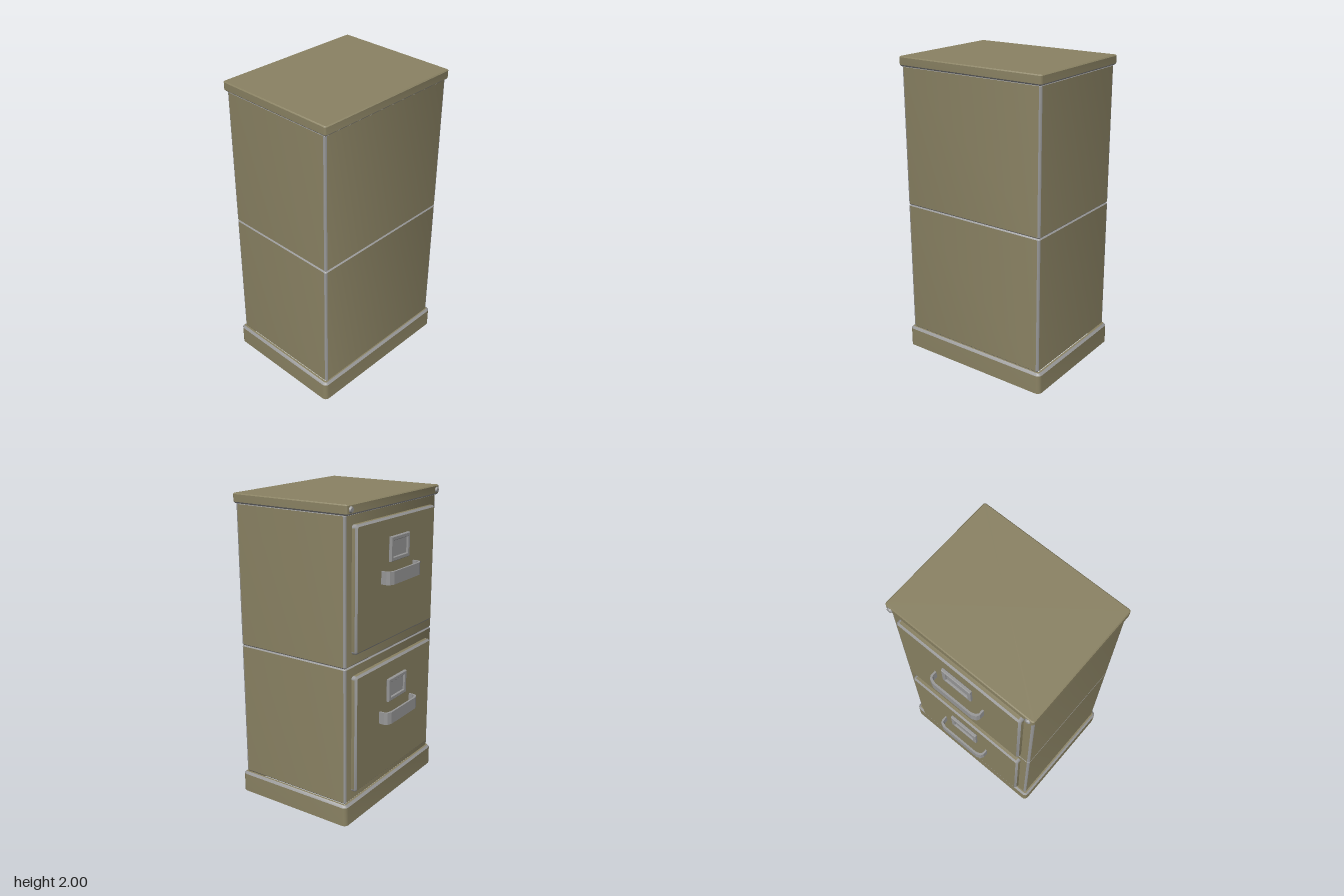
import * as THREE from 'three';
import { toCreasedNormals } from 'three/addons/utils/BufferGeometryUtils.js';

const paint = new THREE.MeshStandardMaterial({ color: 0x8a8263, side: THREE.DoubleSide });
paint.name = 'olive paint';
const steel = new THREE.MeshStandardMaterial({ color: 0x979797, side: THREE.DoubleSide });
steel.name = 'grey steel';

const CORNER = 4; // segments per rounded corner

// Outline of a rounded rectangle in x and z
function outline(w, d, r) {
  const pts = [];
  [[1, 1], [-1, 1], [-1, -1], [1, -1]].forEach(([sx, sz], q) => {
    for (let i = 0; i <= CORNER; i++) {
      const a = (q + i / CORNER) * Math.PI / 2;
      pts.push([sx * (w / 2 - r) + r * Math.cos(a), sz * (d / 2 - r) + r * Math.sin(a)]);
    }
  });
  return pts;
}

// Stack of rounded rectangles. rings: [y, inset, bandAboveIsSteel]
function stack(w, d, r, rings, { steelCorners = false, top = false, bottom = false } = {}) {
  const faces = [[], []]; // paint, steel
  const loops = rings.map(([y, inset]) =>
    outline(w - 2 * inset, d - 2 * inset, Math.max(r - inset, 0.003)).map(([x, z]) => [x, y, z]));
  const n = loops[0].length;
  for (let k = 0; k < loops.length - 1; k++) {
    for (let i = 0; i < n; i++) {
      const j = (i + 1) % n;
      const isCorner = i % (CORNER + 1) !== CORNER;
      const list = faces[rings[k][2] || (steelCorners && isCorner) ? 1 : 0];
      const [a, b, c, e] = [loops[k][i], loops[k + 1][i], loops[k + 1][j], loops[k][j]];
      list.push(...a, ...b, ...c, ...a, ...c, ...e);
    }
  }
  const cap = (loop, up) => {
    for (let i = 0; i < n; i++) {
      const p = loop[i], q = loop[(i + 1) % n];
      faces[0].push(0, p[1], 0, ...(up ? q : p), ...(up ? p : q));
    }
  };
  if (top) cap(loops[loops.length - 1], true);
  if (bottom) cap(loops[0], false);
  const geo = new THREE.BufferGeometry();
  geo.setAttribute('position', new THREE.Float32BufferAttribute([...faces[0], ...faces[1]], 3));
  geo.addGroup(0, faces[0].length / 3, 0);
  if (faces[1].length) geo.addGroup(faces[0].length / 3, faces[1].length / 3, 1);
  return toCreasedNormals(geo, 0.6);
}

function add(parent, name, geo, mat, x = 0, y = 0, z = 0) {
  const mesh = new THREE.Mesh(geo, mat);
  mesh.name = name;
  mesh.position.set(x, y, z);
  parent.add(mesh);
  return mesh;
}

// Bent strap handle, bowed along -z
function handleGeometry() {
  const outer = [[0.19, 0], [0.19, 0.035], [0.18, 0.055], [0.15, 0.068]];
  const inner = [[0.138, 0.055], [0.168, 0.044], [0.178, 0.03], [0.178, 0]];
  const flip = (pts) => pts.map(([x, y]) => [-x, y]).reverse();
  const pts = [...outer, ...flip(outer), ...flip(inner), ...inner];
  const shape = new THREE.Shape(pts.map(([x, y]) => new THREE.Vector2(x, y)));
  return new THREE.ExtrudeGeometry(shape, { depth: 0.08, bevelEnabled: false }).rotateX(-Math.PI / 2);
}

// Label holder frame around an opening
function labelFrameGeometry() {
  const rect = (S, w, h) => new S([[-w, -h], [w, -h], [w, h], [-w, h]].map((p) => new THREE.Vector2(...p)));
  const shape = rect(THREE.Shape, 0.104, 0.072);
  shape.holes.push(rect(THREE.Path, 0.086, 0.054));
  return new THREE.ExtrudeGeometry(shape, {
    depth: 0.014, bevelThickness: 0.004, bevelSize: 0.004, bevelSegments: 1,
  }).rotateY(Math.PI);
}

// One drawer front with its handle and label holder
function drawer(name, y) {
  const g = new THREE.Group();
  g.name = name;
  const panel = stack(0.905, 0.77, 0.02,
    [[0, 0], [0.022, 0, true], [0.034, 0.013]], { steelCorners: true, top: true });
  add(g, 'drawerPanel', panel.rotateX(-Math.PI / 2), [paint, steel]);
  add(g, 'drawerHandle', handleGeometry(), steel, 0, -0.01, -0.034);
  add(g, 'labelFrame', labelFrameGeometry(), steel, 0, 0.19, -0.036);
  add(g, 'labelPlate', new THREE.BoxGeometry(0.18, 0.116, 0.008), steel, 0, 0.19, -0.038);
  g.position.set(0, y, -0.361);
  return g;
}

export function createModel() {
  const model = new THREE.Group();
  model.name = 'filingCabinet';
  const both = [paint, steel];

  // Hollow plinth, open underneath, with a narrow ledge under the body
  add(model, 'plinth', stack(1.08, 0.842, 0.03,
    [[0, 0], [0.125, 0, true], [0.14, 0.014], [0.14, 0.027]]), both, 0, 0, 0.041);

  // Two hollow body sections with bevelled edges
  [['lowerBody', 0.14, 1.035], ['upperBody', 1.035, 1.942]].forEach(([name, y0, y1]) => {
    const b = 0.008;
    add(model, name, stack(1.032, 0.805, 0.014,
      [[y0, b, true], [y0 + b, 0], [y1 - b, 0, true], [y1, b]], { steelCorners: true }),
    both, 0, 0, 0.0425);
  });

  // Lid
  add(model, 'lid', stack(1.054, 0.84, 0.016,
    [[1.938, 0.01, true], [1.948, 0], [1.994, 0], [2, 0.006]], { top: true, bottom: true }),
  both, 0, 0, 0.04);

  // Lid rivets
  for (const s of [-1, 1]) {
    const rivet = new THREE.CylinderGeometry(0.014, 0.02, 0.01, 16).rotateX(-Math.PI / 2);
    add(model, 'lidRivet', rivet, steel, s * 0.49, 1.97, -0.385);
  }

  model.add(drawer('lowerDrawer', 0.588), drawer('upperDrawer', 1.495));
  // Lift each handle and label to its place on the panel
  model.traverse((o) => {
    if (o.name === 'drawerHandle') o.position.y = -0.008;
  });
  return model;
}
